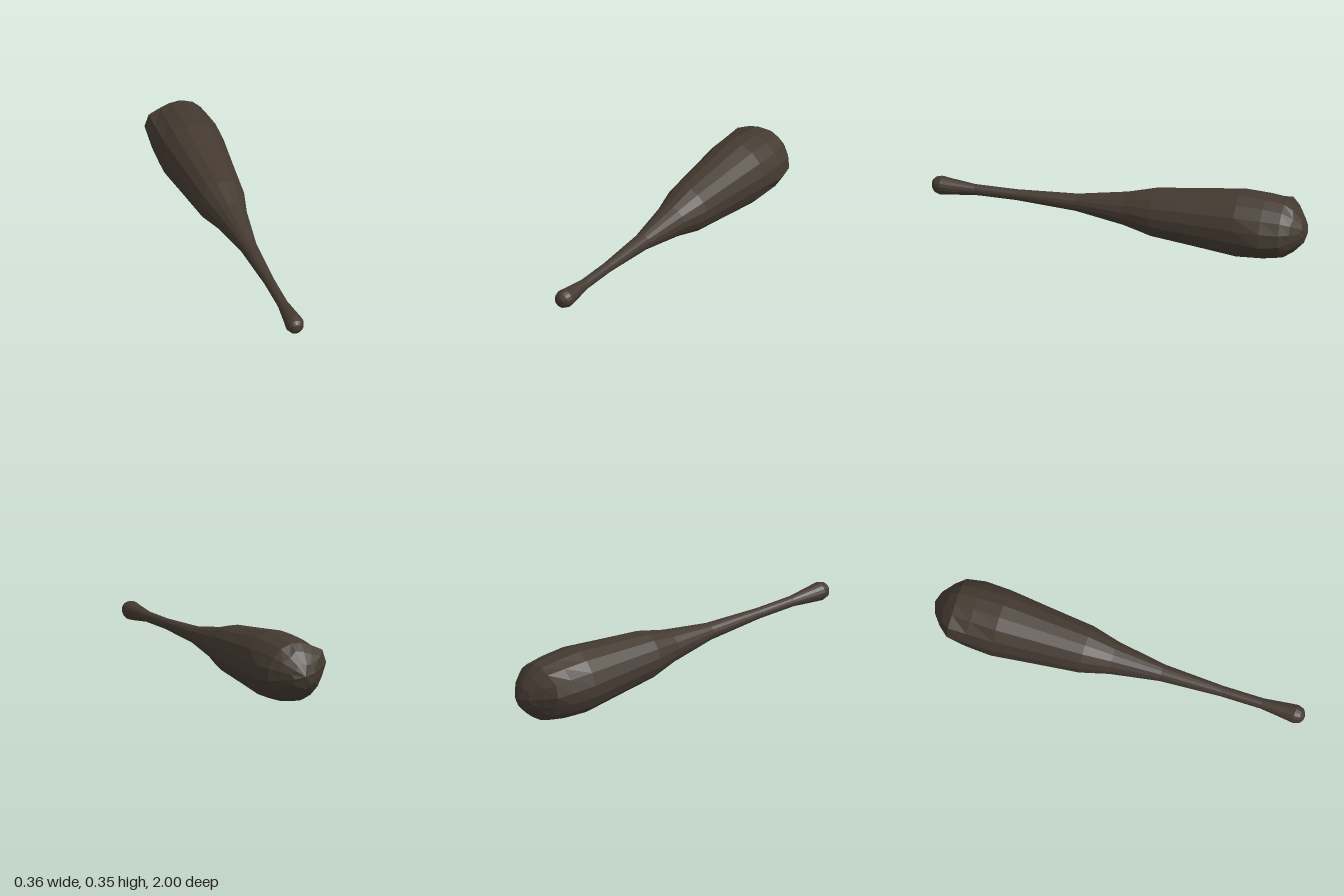
import * as THREE from 'three';

const SIDES = 16;

// Cross-sections along the club: z, radius, centre x, centre y
const RINGS = [
  [0.995, 0.022, -0.008, 0.178], [0.98, 0.04, -0.007, 0.177], [0.95, 0.049, -0.006, 0.176],
  [0.90, 0.043, -0.005, 0.175], [0.77, 0.028, -0.005, 0.175], [0.55, 0.028, -0.005, 0.175],
  [0.23, 0.045, -0.005, 0.174], [-0.03, 0.087, -0.005, 0.174], [-0.18, 0.126, -0.005, 0.174],
  [-0.42, 0.152, -0.005, 0.174], [-0.64, 0.177, -0.005, 0.174], [-0.78, 0.169, -0.003, 0.174],
  [-0.88, 0.153, 0, 0.176], [-0.93, 0.116, 0, 0.174], [-0.975, 0.066, 0, 0.17],
];

// Worn knots that swell the thick end: angle (deg), z, height, angular spread, z spread
const KNOTS = [
  [155, -0.87, 0.038, 24, 0.09],
  [-8, -0.81, 0.026, 24, 0.09],
];

function knotHeight(angle, z) {
  let h = 0;
  for (const [a, kz, height, spread, length] of KNOTS) {
    const da = ((angle - a + 540) % 360) - 180;
    h += height * Math.exp(-((da / spread) ** 2) - ((z - kz) / length) ** 2);
  }
  return h;
}

function clubGeometry() {
  const pos = [], index = [];
  RINGS.forEach(([z, r, cx, cy], k) => {
    for (let i = 0; i < SIDES; i++) {
      const deg = (i + 0.5) * 360 / SIDES, a = deg * Math.PI / 180;
      // shallow chips around the broken end
      const chip = z < -0.9 ? 0.008 * Math.sin(i * 2.3 + k) : 0;
      const rad = r + knotHeight(deg, z) * (z < -0.95 ? 0.4 : 1) + chip;
      pos.push(cx + rad * Math.cos(a), cy + rad * Math.sin(a), z + chip * 0.8);
    }
  });

  // side walls
  for (let k = 0; k < RINGS.length - 1; k++) {
    for (let i = 0; i < SIDES; i++) {
      const j = (i + 1) % SIDES;
      const a = k * SIDES + i, b = k * SIDES + j, c = a + SIDES, d = b + SIDES;
      index.push(a, c, b, b, c, d);
    }
  }

  // closed grip end and blunt, off-centre tip
  const front = pos.length / 3, back = front + 1, last = (RINGS.length - 1) * SIDES;
  pos.push(-0.008, 0.178, 1, 0.004, 0.172, -1);
  for (let i = 0; i < SIDES; i++) {
    const j = (i + 1) % SIDES;
    index.push(front, i, j, back, last + j, last + i);
  }

  const g = new THREE.BufferGeometry();
  g.setAttribute('position', new THREE.Float32BufferAttribute(pos, 3));
  g.setIndex(index);
  const faceted = g.toNonIndexed();
  faceted.computeVertexNormals();
  return faceted;
}

export function createModel() {
  const group = new THREE.Group();
  group.name = 'woodenClub';
  const darkWood = new THREE.MeshStandardMaterial({ color: 0x443a31 });
  darkWood.name = 'darkWood';
  const club = new THREE.Mesh(clubGeometry(), darkWood);
  club.name = 'clubBody';
  group.add(club);
  return group;
}
